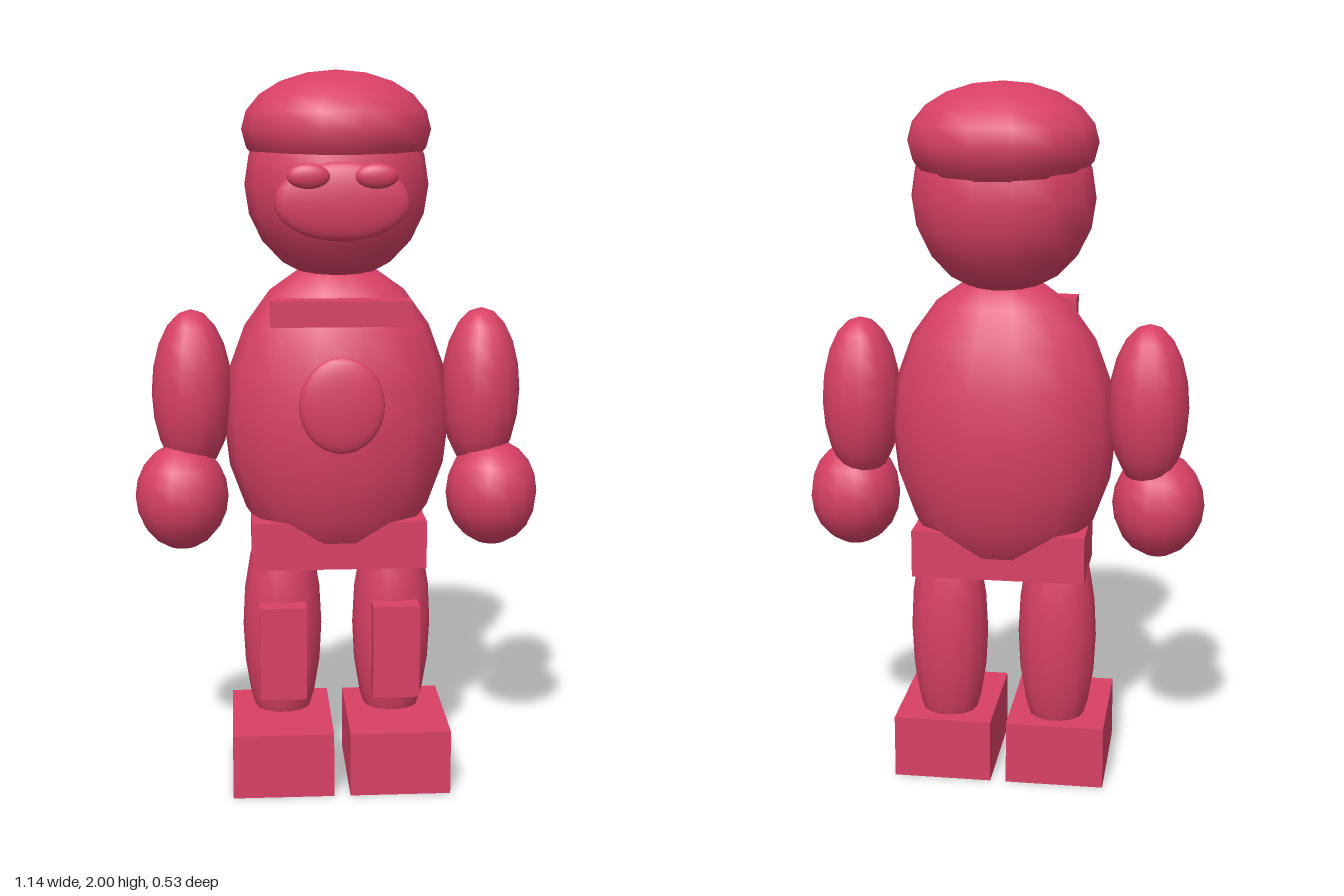
import * as THREE from 'three';

export function createModel() {
  const root = new THREE.Group();
  const crimson = new THREE.MeshStandardMaterial({ color: 0xd84065 });
  crimson.name = 'crimson';

  const ball = new THREE.SphereGeometry(1, 14, 10);
  const smoothBall = new THREE.SphereGeometry(1, 24, 16);

  function add(name, geometry, position, scale) {
    const mesh = new THREE.Mesh(geometry, crimson);
    mesh.name = name;
    mesh.position.set(...position);
    if (scale) mesh.scale.set(...scale);
    root.add(mesh);
    return mesh;
  }
  // box given by its size and centre
  const box = (name, size, position) => add(name, new THREE.BoxGeometry(...size), position);

  // head, cap and torso
  add('head', ball, [0, 1.69, -0.01], [0.255, 0.265, 0.226]);
  add('cap', ball, [0, 1.84, -0.022], [0.262, 0.16, 0.249]);
  add('torso', ball, [0, 1.04, -0.006], [0.32, 0.445, 0.217]);

  // face and chest details
  add('muzzle', smoothBall, [0, 1.655, 0.216], [0.18, 0.104, 0.033]);
  add('bellyBadge', smoothBall, [0, 1.11, 0.224], [0.116, 0.132, 0.028]);
  box('collarBar', [0.38, 0.07, 0.073], [0, 1.355, 0.164]);
  box('belt', [0.49, 0.135, 0.262], [0, 0.693, -0.003]);

  // mirrored limbs
  for (const [side, s] of [['left', 1], ['right', -1]]) {
    add(side + 'Eye', smoothBall, [s * 0.09, 1.723, 0.244], [0.057, 0.033, 0.02]);
    add(side + 'Arm', ball, [s * 0.408, 1.112, -0.004], [0.113, 0.235, 0.122]);
    add(side + 'Hand', ball, [s * 0.44, 0.822, 0.028], [0.131, 0.152, 0.136]);
    add(side + 'Leg', ball, [s * 0.158, 0.43, -0.008], [0.113, 0.355, 0.107]);
    box(side + 'KneePad', [0.132, 0.268, 0.068], [s * 0.16, 0.385, 0.114]);
    box(side + 'Foot', [0.282, 0.183, 0.37], [s * 0.164, 0.0915, 0.0625]);
  }

  // centre front to back
  const bounds = new THREE.Box3().setFromObject(root, true);
  const shift = (bounds.min.z + bounds.max.z) / 2;
  for (const part of root.children) part.position.z -= shift;
  return root;
}
